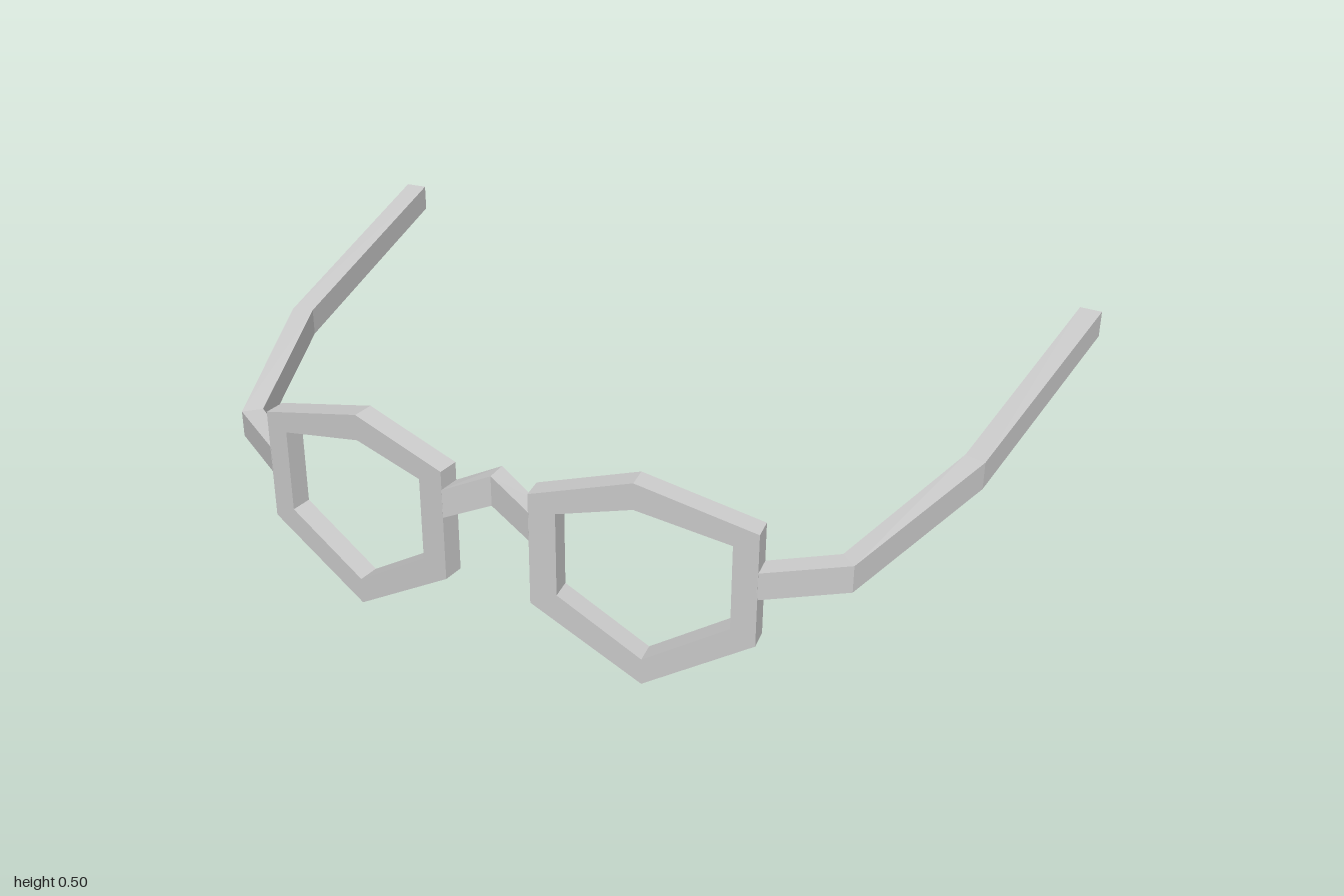
import * as THREE from 'three';

const material = new THREE.MeshStandardMaterial({ color: 0xcccccc, flatShading: true });

// Square bar through sections [frontX, frontZ, backX, backZ, bottomY, topY]
function bar(sections) {
  const rings = sections.map(([fx, fz, bx, bz, y0, y1]) => [
    [fx, y0, fz], [fx, y1, fz], [bx, y1, bz], [bx, y0, bz],
  ]);
  const pos = [];
  const quad = (a, b, c, d) => pos.push(...a, ...b, ...c, ...a, ...c, ...d);
  for (let i = 0; i < rings.length - 1; i++) {
    const p = rings[i], q = rings[i + 1];
    for (let k = 0; k < 4; k++) quad(p[k], q[k], q[(k + 1) % 4], p[(k + 1) % 4]);
  }
  quad(...rings[0]);
  quad(...rings[rings.length - 1].slice().reverse());
  const g = new THREE.BufferGeometry();
  g.setAttribute('position', new THREE.Float32BufferAttribute(pos, 3));
  g.computeVertexNormals();
  return g;
}

// Mirror across x, swapping two corners of each triangle to keep it facing out
function mirrored(geometry) {
  const src = geometry.attributes.position, pos = [];
  for (let i = 0; i < src.count; i += 3) {
    for (const j of [i, i + 2, i + 1]) pos.push(-src.getX(j), src.getY(j), src.getZ(j));
  }
  const g = new THREE.BufferGeometry();
  g.setAttribute('position', new THREE.Float32BufferAttribute(pos, 3));
  g.computeVertexNormals();
  return g;
}

// Six-sided rim, swept back towards the temple
function rim() {
  const points = (list) => list.map(([x, y]) => new THREE.Vector2(x, y));
  const shape = new THREE.Shape(points([
    [0.106, 0.427], [0.106, 0.155], [0.358, 0], [0.606, 0.155], [0.606, 0.427], [0.338, 0.497],
  ]));
  shape.holes.push(new THREE.Path(points([
    [0.167, 0.39], [0.338, 0.434], [0.551, 0.39], [0.551, 0.187], [0.358, 0.064], [0.167, 0.187],
  ])));
  const depth = 0.052;
  const g = new THREE.ExtrudeGeometry(shape, { depth, bevelEnabled: false });
  const p = g.attributes.position;
  for (let i = 0; i < p.count; i++) {
    const x = p.getX(i), z = p.getZ(i);
    p.setX(i, x - 0.006 * (1 - z / depth));
    p.setZ(i, z + 0.593 - 0.127 * (x - 0.106));
  }
  g.computeVertexNormals();
  return g;
}

export function createModel() {
  const group = new THREE.Group();
  group.name = 'glasses';
  const add = (name, geometry) => {
    const mesh = new THREE.Mesh(geometry, material);
    mesh.name = name;
    group.add(mesh);
  };

  const rimGeometry = rim();
  add('leftRim', rimGeometry);
  add('rightRim', mirrored(rimGeometry));

  // Arched nose bridge
  add('bridge', bar([
    [-0.107, 0.645, -0.102, 0.594, 0.312, 0.382],
    [0, 0.615, 0, 0.565, 0.355, 0.428],
    [0.107, 0.645, 0.102, 0.594, 0.312, 0.382],
  ]));

  // Temples: hinge piece, bend, then rising arm
  const temple = bar([
    [0.604, 0.582, 0.598, 0.53, 0.27, 0.335],
    [0.772, 0.467, 0.735, 0.433, 0.27, 0.335],
    [0.918, 0.043, 0.868, 0.027, 0.335, 0.402],
    [1, -0.652, 0.945, -0.656, 0.431, 0.497],
  ]);
  add('leftTemple', temple);
  add('rightTemple', mirrored(temple));

  return group;
}
